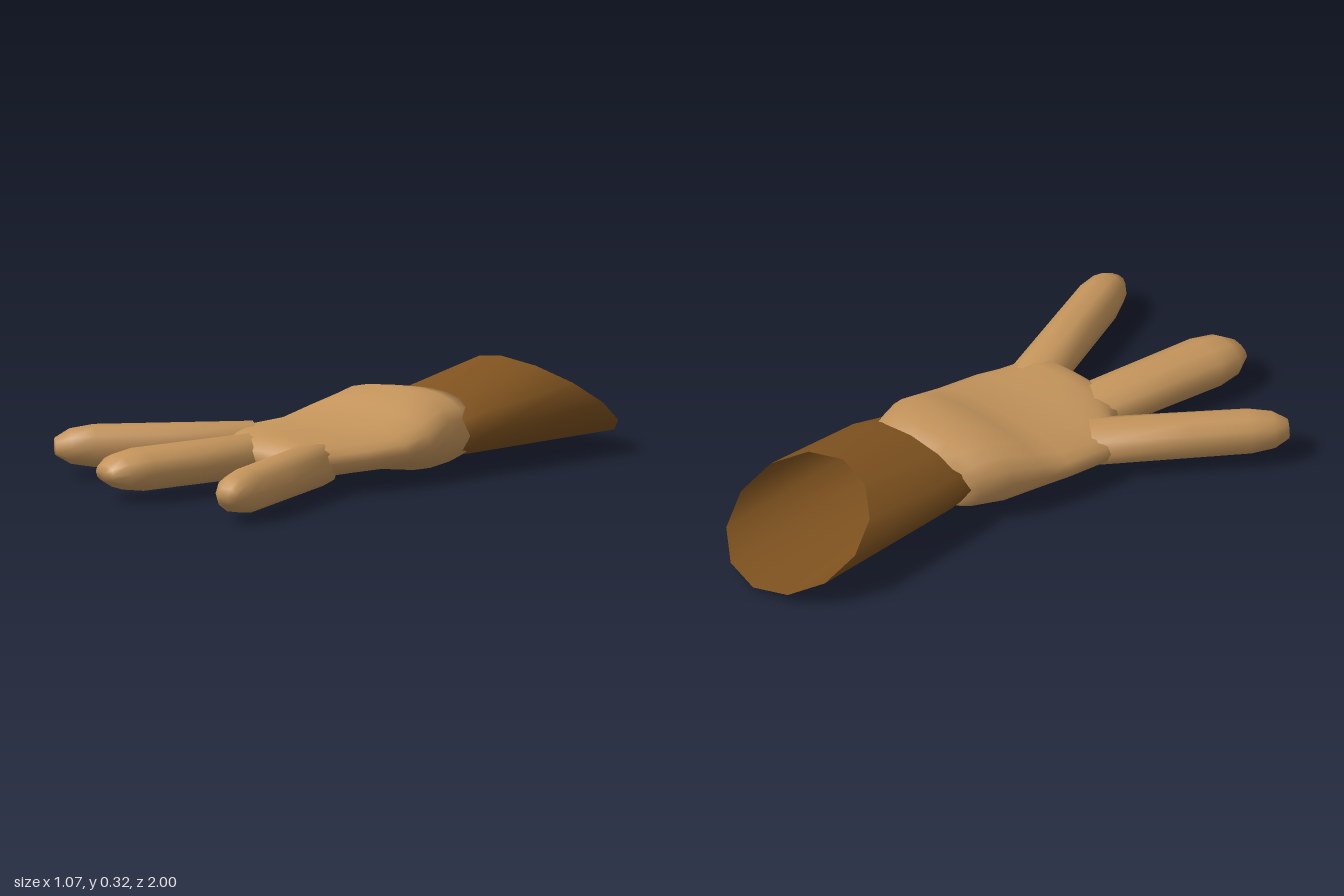
import * as THREE from 'three';

const skin = new THREE.MeshStandardMaterial({ color: 0xc4945b });
skin.name = 'skin';
const leather = new THREE.MeshStandardMaterial({ color: 0x80531f, side: THREE.DoubleSide });
leather.name = 'brownCuff';

// Lofts oval rings { x, z, hw, y0, y1, tilt } along a heading in the xz plane.
// power < 1 makes the ovals boxier; cap closes both ends with a pole.
function loft(rings, sides, { heading = 0, power = 1, cap = true } = {}) {
  const pos = [], index = [];
  const soften = v => Math.sign(v) * Math.pow(Math.abs(v), power);
  for (const { x, z, hw, y0, y1, tilt = 0 } of rings) {
    for (let j = 0; j < sides; j++) {
      const a = (j / sides) * Math.PI * 2;
      const c = soften(Math.cos(a)), s = soften(Math.sin(a));
      pos.push(
        x + Math.cos(heading) * hw * c,
        (y0 + y1) / 2 + ((y1 - y0) / 2) * s,
        z - Math.sin(heading) * hw * c + tilt * s
      );
    }
  }
  for (let i = 0; i < rings.length - 1; i++) {
    for (let j = 0; j < sides; j++) {
      const k = (j + 1) % sides;
      const a = i * sides + j, b = i * sides + k;
      index.push(a, b, a + sides, b, b + sides, a + sides);
    }
  }
  if (cap) {
    const last = rings.length - 1;
    for (const i of [0, last]) {
      const r = rings[i], pole = pos.length / 3;
      pos.push(r.x, (r.y0 + r.y1) / 2, r.z);
      for (let j = 0; j < sides; j++) {
        const a = i * sides + j, b = i * sides + (j + 1) % sides;
        if (i === 0) index.push(b, a, pole);
        else index.push(a, b, pole);
      }
    }
  }
  const g = new THREE.BufferGeometry();
  g.setAttribute('position', new THREE.Float32BufferAttribute(pos, 3));
  g.setIndex(index);
  g.computeVertexNormals();
  return g;
}

// Finger from a root to a blunt tip, with half widths at both ends.
function finger([x0, z0], [x1, z1], w0, w1, y0, y1) {
  const heading = Math.atan2(x1 - x0, z1 - z0);
  const length = Math.hypot(x1 - x0, z1 - z0);
  const mid = (y0 + y1) / 2, h = (y1 - y0) / 2;
  // [distance from root, width scale, height scale]
  const steps = [
    [0, 1, 1],
    [length * 0.5, 1, 1],
    [length - 0.13, 1, 1],
    [length - 0.05, 0.85, 0.82],
    [length, 0.48, 0.4]
  ];
  const rings = steps.map(([d, sw, sh]) => {
    const t = d / length;
    return {
      x: x0 + (x1 - x0) * t,
      z: z0 + (z1 - z0) * t,
      hw: (w0 + (w1 - w0) * t) * sw,
      y0: mid - h * sh,
      y1: mid + h * sh
    };
  });
  return loft(rings, 10, { heading, power: 0.9 });
}

export function createModel() {
  const group = new THREE.Group();
  group.name = 'hand';
  const add = (name, geometry, material) => {
    const mesh = new THREE.Mesh(geometry, material);
    mesh.name = name;
    group.add(mesh);
  };

  // Palm: [z, xMin, xMax, yMin, yMax] from wrist to knuckles
  const palm = [
    [-0.26, -0.01, 0.41, 0.03, 0.255],
    [-0.21, -0.06, 0.42, 0.012, 0.262],
    [-0.11, -0.115, 0.445, 0.004, 0.275],
    [0, -0.15, 0.455, 0.022, 0.23],
    [0.1, -0.175, 0.45, 0.038, 0.19],
    [0.25, -0.2, 0.42, 0.038, 0.18],
    [0.33, -0.165, 0.39, 0.036, 0.176],
    [0.4, -0.08, 0.37, 0.036, 0.174],
    [0.45, -0.055, 0.36, 0.045, 0.165],
    [0.485, -0.03, 0.33, 0.075, 0.135]
  ].map(([z, a, b, y0, y1]) => ({ x: (a + b) / 2, z, hw: (b - a) / 2, y0, y1 }));
  add('palm', loft(palm, 20, { power: 0.85 }), skin);

  // Three spread fingers
  add('thumb', finger([-0.09, 0.27], [-0.505, 0.775], 0.09, 0.078, 0.035, 0.175), skin);
  add('middleFinger', finger([0.05, 0.36], [-0.07, 0.985], 0.1, 0.108, 0.03, 0.168), skin);
  add('outerFinger', finger([0.28, 0.36], [0.49, 0.985], 0.085, 0.076, 0.02, 0.165), skin);

  // Open sleeve cuff, cut at a slant behind
  const cuff = [
    { x: 0.21, z: -0.79, hw: 0.26, y0: 0.02, y1: 0.32, tilt: 0.21 },
    { x: 0.21, z: -0.3, hw: 0.26, y0: 0.034, y1: 0.262 },
    { x: 0.21, z: -0.19, hw: 0.24, y0: 0.038, y1: 0.232 }
  ];
  add('cuff', loft(cuff, 12, { cap: false }), leather);

  return group;
}
